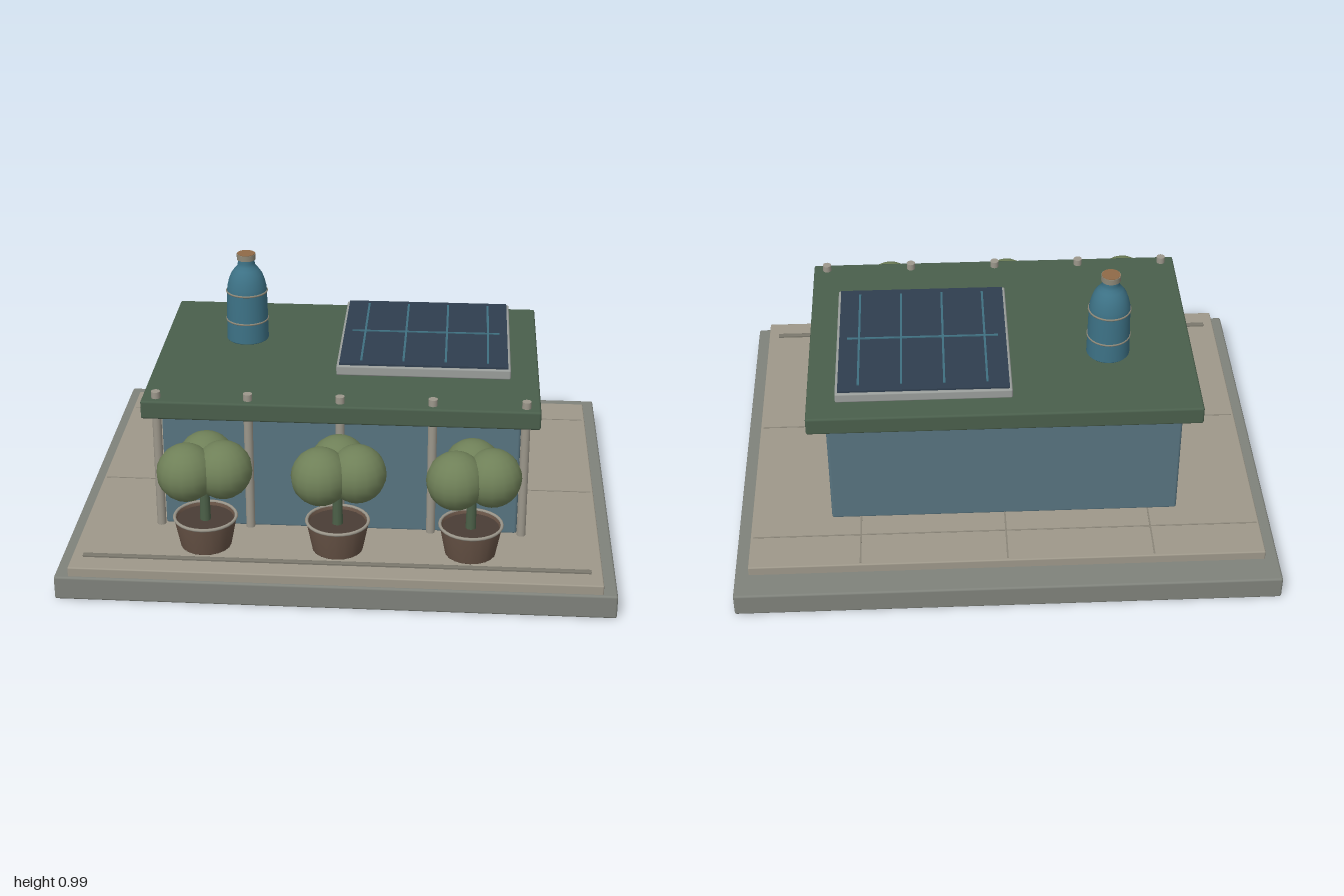
import * as THREE from 'three';
import { RoundedBoxGeometry } from 'three/addons/geometries/RoundedBoxGeometry.js';

const material = (color, side = THREE.FrontSide) => {
  const m = new THREE.MeshStandardMaterial({ color });
  m.side = side;
  return m;
};
const mats = {
  base: material(0x7f827b), paving: material(0x9e988a), joint: material(0x8a8578),
  rail: material(0x7a776c), wall: material(0x587480), roof: material(0x4a5f4c),
  post: material(0x9c978b), frame: material(0x9a9e9b), panel: material(0x2f3e4f),
  gridLine: material(0x3f6f80), bottle: material(0x3d7286, THREE.DoubleSide),
  cap: material(0x8f6a48), band: material(0x8d8878), leaf: material(0x6f8058),
  trunk: material(0x4c6048), pot: material(0x665245, THREE.DoubleSide), soil: material(0x4a3d35),
};

function add(parent, name, geometry, mat, x = 0, y = 0, z = 0) {
  const mesh = new THREE.Mesh(geometry, mat);
  mesh.name = name;
  mesh.position.set(x, y, z);
  parent.add(mesh);
  return mesh;
}

// Box given by its limits on each axis, with an optional rounded edge
function slab(parent, name, mat, [x0, x1], [y0, y1], [z0, z1], radius = 0) {
  const size = [x1 - x0, y1 - y0, z1 - z0];
  const geometry = radius ? new RoundedBoxGeometry(...size, 2, radius) : new THREE.BoxGeometry(...size);
  return add(parent, name, geometry, mat, (x0 + x1) / 2, (y0 + y1) / 2, (z0 + z1) / 2);
}

function lathe(points, segments) {
  return new THREE.LatheGeometry(points.map(([r, y]) => new THREE.Vector2(r, y)), segments);
}

function ring(parent, name, mat, radius, tube, y) {
  add(parent, name, new THREE.TorusGeometry(radius, tube, 6, 28), mat, 0, y, 0).rotation.x = Math.PI / 2;
}

// Potted tree with a three-lobed crown, origin at the foot of the pot
function pottedTree() {
  const tree = new THREE.Group();
  tree.name = 'pottedTree';
  add(tree, 'pot', lathe([[0, 0], [0.092, 0], [0.092, 0.001], [0.114, 0.112], [0.105, 0.112], [0.102, 0.09]], 20), mats.pot);
  ring(tree, 'potRim', mats.post, 0.112, 0.006, 0.112);
  add(tree, 'soil', new THREE.CylinderGeometry(0.104, 0.1, 0.01, 20), mats.soil, 0, 0.095, 0);
  add(tree, 'trunk', new THREE.CylinderGeometry(0.016, 0.02, 0.2, 10), mats.trunk, 0, 0.195, 0);
  for (const [x, z] of [[-0.058, 0.035], [0.07, 0.005], [0, -0.07]]) {
    add(tree, 'foliage', new THREE.SphereGeometry(0.106, 16, 12), mats.leaf, x, 0.305, z);
  }
  return tree;
}

// Bottle-shaped tank, origin at its foot
function bottleTank() {
  const bottle = new THREE.Group();
  bottle.name = 'bottleTank';
  const profile = [[0, 0], [0.078, 0], [0.081, 0.004], [0.077, 0.195], [0.075, 0.215], [0.069, 0.24],
    [0.06, 0.265], [0.046, 0.285], [0.035, 0.297], [0.032, 0.31], [0.032, 0.33]];
  add(bottle, 'bottleBody', lathe(profile, 28), mats.bottle);
  ring(bottle, 'lowerBand', mats.band, 0.079, 0.004, 0.082);
  ring(bottle, 'upperBand', mats.band, 0.077, 0.004, 0.196);
  add(bottle, 'bottleLip', new THREE.CylinderGeometry(0.036, 0.036, 0.022, 24), mats.band, 0, 0.334, 0);
  add(bottle, 'bottleCap', new THREE.CylinderGeometry(0.034, 0.034, 0.006, 24), mats.cap, 0, 0.344, 0);
  return bottle;
}

export function createModel() {
  const model = new THREE.Group();
  model.name = 'gardenPavilion';

  // Ground slab and paving
  slab(model, 'base', mats.base, [-1, 1], [0, 0.09], [-0.81, 0.81], 0.008);
  slab(model, 'paving', mats.paving, [-0.95, 0.95], [0.085, 0.125], [-0.7, 0.8], 0.005);
  for (const x of [-0.54, 0, 0.54]) {
    slab(model, 'pavingJoint', mats.joint, [x - 0.003, x + 0.003], [0.12, 0.126], [-0.69, 0.66]);
  }
  for (const z of [-0.54, 0.1]) {
    slab(model, 'pavingJoint', mats.joint, [-0.94, 0.94], [0.12, 0.126], [z - 0.003, z + 0.003]);
  }
  slab(model, 'frontRail', mats.rail, [-0.91, 0.91], [0.12, 0.133], [0.7, 0.72], 0.003);

  // Building body and the roof floating just above it
  slab(model, 'walls', mats.wall, [-0.65, 0.65], [0.12, 0.56], [-0.44, 0.44], 0.01);
  slab(model, 'roof', mats.roof, [-0.718, 0.718], [0.57, 0.64], [-0.488, 0.488], 0.008);

  // Row of posts through the front edge of the roof
  for (let i = -2; i <= 2; i++) {
    add(model, 'frontPost', new THREE.CylinderGeometry(0.0165, 0.0165, 0.54, 14), mats.post, i * 0.333, 0.395, 0.45);
  }

  // Solar panel with cell lines
  const solar = new THREE.Group();
  solar.name = 'solarPanel';
  slab(solar, 'panelFrame', mats.frame, [-0.03, 0.612], [0.65, 0.688], [-0.408, 0.236], 0.006);
  slab(solar, 'panelGlass', mats.panel, [-0.02, 0.602], [0.68, 0.695], [-0.398, 0.226]);
  for (let i = 0; i < 4; i++) {
    const x = 0.06 + i * 0.156;
    slab(solar, 'cellLine', mats.gridLine, [x - 0.004, x + 0.004], [0.69, 0.699], [-0.365, 0.195]);
  }
  slab(solar, 'crossLine', mats.gridLine, [0.01, 0.572], [0.69, 0.699], [-0.09, -0.082]);
  model.add(solar);

  // Rooftop tank
  const tank = bottleTank();
  tank.position.set(-0.4, 0.64, -0.127);
  model.add(tank);

  // Trees along the front
  for (const x of [-0.48, 0, 0.48]) {
    const tree = pottedTree();
    tree.position.set(x, 0.125, 0.587);
    model.add(tree);
  }
  return model;
}
